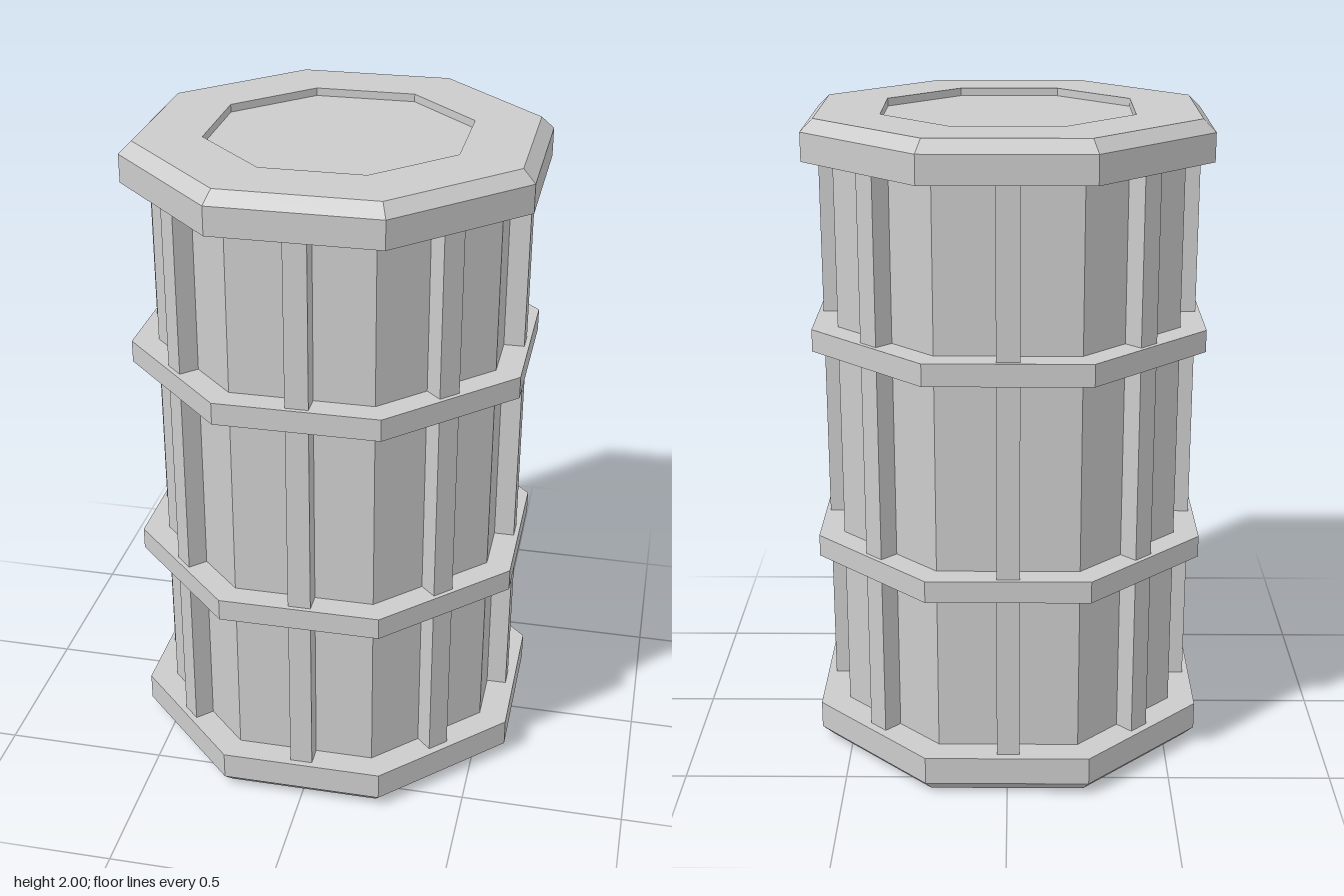
import * as THREE from 'three';

const SIDES = 8;
const CORNER = 1 / Math.cos(Math.PI / SIDES); // flat-to-centre distance -> corner radius

export function createModel() {
  const group = new THREE.Group();
  const material = new THREE.MeshStandardMaterial({ color: 0xcccccc, flatShading: true });

  const add = (name, geometry, parent) => {
    const mesh = new THREE.Mesh(geometry, material);
    mesh.name = name;
    parent.add(mesh);
    return mesh;
  };

  // Octagonal lathe with flats facing the axes; profile is [apothem, y], bottom to top
  const octagon = (profile) => new THREE.LatheGeometry(
    profile.map(([a, y]) => new THREE.Vector2(a * CORNER, y)), SIDES, Math.PI / SIDES);

  // Chamfered end caps with a shallow recess
  const cap = [[0, 0.024], [0.374, 0.024], [0.374, 0], [0.563, 0], [0.6, 0.037], [0.6, 0.123], [0.45, 0.123]];
  add('bottomCap', octagon(cap), group);
  add('topCap', octagon(cap.map(([a, y]) => [a, 2 - y]).reverse()), group);

  // Barrel sits very slightly off the cap centre
  const barrel = new THREE.Group();
  barrel.name = 'barrel';
  barrel.position.set(-0.003, 0, 0.003);
  group.add(barrel);
  add('body', octagon([[0.515, 0.1], [0.515, 1.9]]), barrel);

  // Hoops around the barrel
  for (const y of [0.67, 1.337]) {
    const h = 0.034;
    add('hoop', octagon([[0.5, y - h], [0.591, y - h], [0.591, y + h], [0.5, y + h]]), barrel);
  }

  // One vertical rib in the middle of each flat
  const ribGeometry = new THREE.BoxGeometry(0.069, 1.8, 0.087);
  for (let i = 0; i < SIDES; i++) {
    const angle = (i * 2 * Math.PI) / SIDES;
    const rib = add('rib', ribGeometry, barrel);
    rib.position.set(Math.sin(angle) * 0.5335, 1, Math.cos(angle) * 0.5335);
    rib.rotation.y = angle;
  }

  return group;
}
